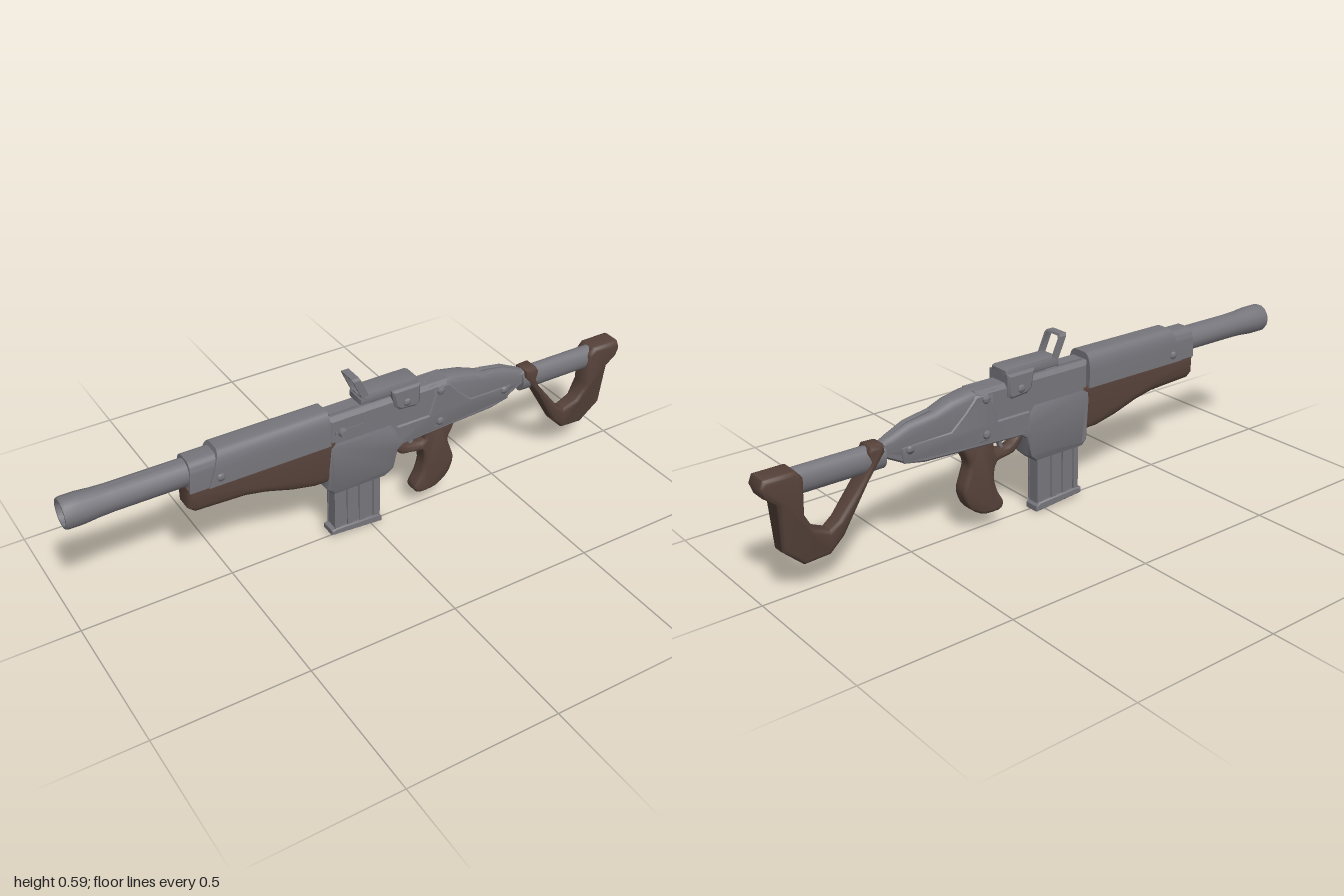
import * as THREE from 'three';
import { toCreasedNormals } from 'three/addons/utils/BufferGeometryUtils.js';

const metal = new THREE.MeshStandardMaterial({ color: 0x76757b });
const wood = new THREE.MeshStandardMaterial({ color: 0x56423a });

export function createModel() {
  const model = new THREE.Group();

  const add = (name, geo, mat = metal, crease = 0.6) => {
    const mesh = new THREE.Mesh(toCreasedNormals(geo, crease), mat);
    mesh.name = name;
    model.add(mesh);
    return mesh;
  };

  const shapeOf = (pts) => new THREE.Shape(pts.map(([x, y]) => new THREE.Vector2(x, y)));

  // Move every vertex of a geometry by a rule
  const warp = (geo, rule) => {
    const p = geo.attributes.position;
    const v = new THREE.Vector3();
    for (let i = 0; i < p.count; i++) {
      rule(v.fromBufferAttribute(p, i));
      p.setXYZ(i, v.x, v.y, v.z);
    }
    return geo;
  };

  // Side outline given thickness 2 * half, with bevelled edges kept inside the outline
  const slab = (name, pts, half, size, thick, mat, rule, steps = 1, crease = 0.6) => {
    const shape = Array.isArray(pts) ? shapeOf(pts) : pts;
    const geo = new THREE.ExtrudeGeometry(shape, {
      depth: 2 * (half - thick), bevelSize: size, bevelThickness: thick,
      bevelOffset: -size, bevelSegments: steps, curveSegments: 4,
    });
    geo.translate(0, 0, thick - half);
    return add(name, rule ? warp(geo, rule) : geo, mat, crease);
  };

  const box = (name, x0, x1, y0, y1, z0, z1, mat) =>
    add(name, new THREE.BoxGeometry(x1 - x0, y1 - y0, z1 - z0)
      .translate((x0 + x1) / 2, (y0 + y1) / 2, (z0 + z1) / 2), mat);

  // Straight-sided section with a rounded top, run along x, front end sheared
  const hood = (name, x0, x1, half, bottom, side, top, shear) => {
    const s = new THREE.Shape();
    s.moveTo(-half, bottom);
    s.lineTo(half, bottom);
    s.lineTo(half, side);
    s.bezierCurveTo(half, top - 0.014, half * 0.72, top, half * 0.4, top);
    s.lineTo(-half * 0.4, top);
    s.bezierCurveTo(-half * 0.72, top, -half, top - 0.014, -half, side);
    const geo = new THREE.ExtrudeGeometry(s, { depth: x1 - x0, bevelEnabled: false, curveSegments: 6 });
    geo.rotateY(Math.PI / 2).translate(x0, 0, 0);
    add(name, warp(geo, (v) => { if (v.x < x0 + 0.01) v.x += shear * (v.y - bottom); }));
  };

  // Hollow barrel: outside from the back to the muzzle, then the bore
  const barrel = [[0.5, 0.043], [0.85, 0.043], [0.9, 0.045], [0.945, 0.049], [0.99, 0.049],
    [1, 0.046], [1, 0.039], [0.7, 0.037]];
  add('barrel', new THREE.LatheGeometry(barrel.map(([l, r]) => new THREE.Vector2(r, l)), 14)
    .rotateZ(Math.PI / 2).translate(0, 0.437, 0));
  add('boreEnd', new THREE.CylinderGeometry(0.038, 0.038, 0.01, 14)
    .rotateZ(Math.PI / 2).translate(-0.7, 0.437, 0));

  // Barrel cover
  hood('barrelCollar', -0.63, -0.5, 0.045, 0.385, 0.45, 0.486, 0.08);
  hood('barrelCover', -0.57, -0.16, 0.05, 0.385, 0.44, 0.5, 0.35);

  // Wooden handguard, slimmer toward the bottom
  slab('handguard', [[-0.635, 0.4], [-0.635, 0.325], [-0.615, 0.308], [-0.45, 0.3], [-0.38, 0.285],
    [-0.29, 0.255], [-0.21, 0.237], [-0.13, 0.235], [-0.13, 0.4]], 0.046, 0.025, 0.02, wood,
    (v) => { v.z *= 0.75 + 0.25 * Math.min(1, (v.y - 0.23) / 0.12); }, 3, 0.8);

  // Receiver, tapering toward the back
  const taper = (v) => { v.z *= 1 - 0.5 * THREE.MathUtils.clamp((v.x - 0.22) / 0.38, 0, 1); };
  slab('receiver', [[-0.165, 0.3], [0.28, 0.3], [0.28, 0.477], [-0.165, 0.477]], 0.042, 0.014, 0.012, metal);
  slab('rearReceiver', [[0.2, 0.305], [0.47, 0.32], [0.61, 0.345], [0.61, 0.385], [0.57, 0.405],
    [0.51, 0.43], [0.42, 0.443], [0.36, 0.465], [0.29, 0.477], [0.2, 0.477]],
    0.043, 0.02, 0.022, metal, taper, 2, 0.8);
  slab('lowerPlate', [[0.07, 0.29], [0.46, 0.3], [0.53, 0.312], [0.54, 0.365], [0.37, 0.374],
    [0.32, 0.42], [0.28, 0.465], [0.235, 0.465], [0.2, 0.37], [0.08, 0.37]],
    0.047, 0.006, 0.006, metal, taper);
  slab('rearHinge', [[0.49, 0.31], [0.53, 0.312], [0.62, 0.36], [0.62, 0.392], [0.56, 0.39], [0.49, 0.36]],
    0.022, 0.006, 0.006, metal);
  slab('topRidge', [[0.38, 0.44], [0.53, 0.41], [0.58, 0.402], [0.51, 0.436], [0.43, 0.45]], 0.009, 0.002, 0.003, metal);

  // Magazine housing
  slab('magazineHousing', [[-0.17, 0.385], [-0.165, 0.205], [-0.145, 0.183], [0.045, 0.183], [0.075, 0.21],
    [0.09, 0.275], [0.13, 0.305], [0.06, 0.385]], 0.047, 0.016, 0.015, metal,
    (v) => { if (v.y < 0.21) v.z *= 0.85; }, 2);

  // Magazine with ribs and a slightly tilted base plate
  box('magazine', -0.135, 0.03, 0.015, 0.2, -0.019, 0.019);
  for (const s of [-1, 1]) {
    for (const [x0, x1] of [[-0.137, -0.118], [-0.09, -0.072], [-0.045, -0.025], [0.008, 0.032]]) {
      box('magazineRib', x0, x1, 0.03, 0.2, s * 0.0215 - 0.003, s * 0.0215 + 0.003);
    }
  }
  slab('magazineBase', [[-0.15, 0.015], [0.038, 0], [0.038, 0.018], [0.025, 0.03], [-0.13, 0.037], [-0.15, 0.033]],
    0.029, 0.004, 0.004, metal);

  // Pistol grip with the guard hook
  const gripPath = [[0.19, 0.222], [0.203, 0.17], [0.19, 0.12], [0.168, 0.078], [0.185, 0.054], [0.25, 0.058],
    [0.3, 0.095], [0.32, 0.15], [0.305, 0.2], [0.295, 0.24], [0.318, 0.305], [0.21, 0.31], [0.2, 0.26],
    [0.14, 0.258], [0.1, 0.29], [0.075, 0.288], [0.12, 0.23]];
  const gripCurve = new THREE.CatmullRomCurve3(
    gripPath.map(([x, y]) => new THREE.Vector3(x, y, 0)), true, 'catmullrom', 0.4);
  slab('grip', gripPath.length && gripCurve.getPoints(50).slice(0, -1).map((p) => [p.x, p.y]),
    0.029, 0.011, 0.014, wood, (v) => { if (v.x < 0.17 && v.y > 0.2) v.z *= 0.7; }, 3, 1);
  slab('trigger', [[0.15, 0.3], [0.175, 0.3], [0.172, 0.265], [0.158, 0.245], [0.152, 0.25], [0.16, 0.27]],
    0.008, 0.002, 0.002, metal);

  // Stock tube and the open wooden stock
  add('stockTube', new THREE.CylinderGeometry(1, 1, 0.36, 16).rotateZ(Math.PI / 2)
    .scale(1, 0.042, 0.03).translate(0.77, 0.352, 0));
  slab('stock', [[0.598, 0.395], [0.595, 0.37], [0.655, 0.29], [0.74, 0.145], [0.785, 0.1], [0.87, 0.095],
    [0.94, 0.16], [0.947, 0.31], [0.985, 0.34], [0.996, 0.37], [0.985, 0.397], [0.885, 0.397], [0.862, 0.37],
    [0.865, 0.255], [0.835, 0.2], [0.785, 0.178], [0.755, 0.2], [0.66, 0.318], [0.645, 0.35], [0.652, 0.38],
    [0.642, 0.397]], 0.04, 0.013, 0.016, wood,
    (v) => {
      v.z *= 0.5 + 0.5 * THREE.MathUtils.clamp((v.y - 0.095) / 0.2, 0, 1);
      if (v.x < 0.7) v.z *= 0.85;
    }, 3, 0.9);

  // Sight: rail, side clamp and tilted window
  slab('sightRail', [[-0.045, 0.485], [0.165, 0.485], [0.165, 0.516], [0.155, 0.521], [-0.03, 0.521], [-0.045, 0.505]],
    0.037, 0.006, 0.008, metal, null, 2);
  box('sightMount', 0, 0.16, 0.465, 0.49, -0.025, 0.025);
  slab('sightClamp', [[0.06, 0.505], [0.165, 0.505], [0.165, 0.435], [0.15, 0.425], [0.09, 0.43], [0.072, 0.445]],
    0.05, 0.008, 0.006, metal);
  const frame = shapeOf([[-0.037, 0], [0.037, 0], [0.037, 0.075], [0.031, 0.083], [-0.031, 0.083], [-0.037, 0.075]]);
  frame.holes.push(new THREE.Path([[-0.03, 0.012], [-0.03, 0.07], [-0.026, 0.077], [0.026, 0.077], [0.03, 0.07],
    [0.03, 0.012]].map(([x, y]) => new THREE.Vector2(x, y))));
  const frameGeo = new THREE.ExtrudeGeometry(frame, { depth: 0.026, bevelEnabled: false });
  frameGeo.rotateY(Math.PI / 2).translate(-0.038, 0.503, 0);
  add('sightWindow', warp(frameGeo, (v) => { v.x -= 0.45 * (v.y - 0.503); }));

  // Bolt slot and knob on the front side, ejection cover on top
  box('boltSlot', -0.14, -0.04, 0.413, 0.425, 0.04, 0.045);
  add('boltStem', new THREE.CylinderGeometry(0.009, 0.009, 0.03, 10).rotateX(Math.PI / 2).translate(-0.12, 0.425, 0.05));
  add('boltKnob', new THREE.CylinderGeometry(0.013, 0.016, 0.016, 12).rotateX(Math.PI / 2).translate(-0.12, 0.425, 0.06));
  box('topCover', -0.15, -0.05, 0.47, 0.482, -0.022, 0.022);

  // Rivets on both sides
  for (const [x, y, z] of [[-0.53, 0.412, 0.049], [0.115, 0.452, 0.049], [0.245, 0.448, 0.045],
    [0.245, 0.333, 0.045], [0.51, 0.353, 0.029]]) {
    for (const s of [-1, 1]) {
      add('rivet', new THREE.SphereGeometry(0.014, 12, 8).scale(1, 1, 0.55).translate(x, y, s * z), metal, 1);
    }
  }

  model.position.z = -0.006;
  return model;
}
